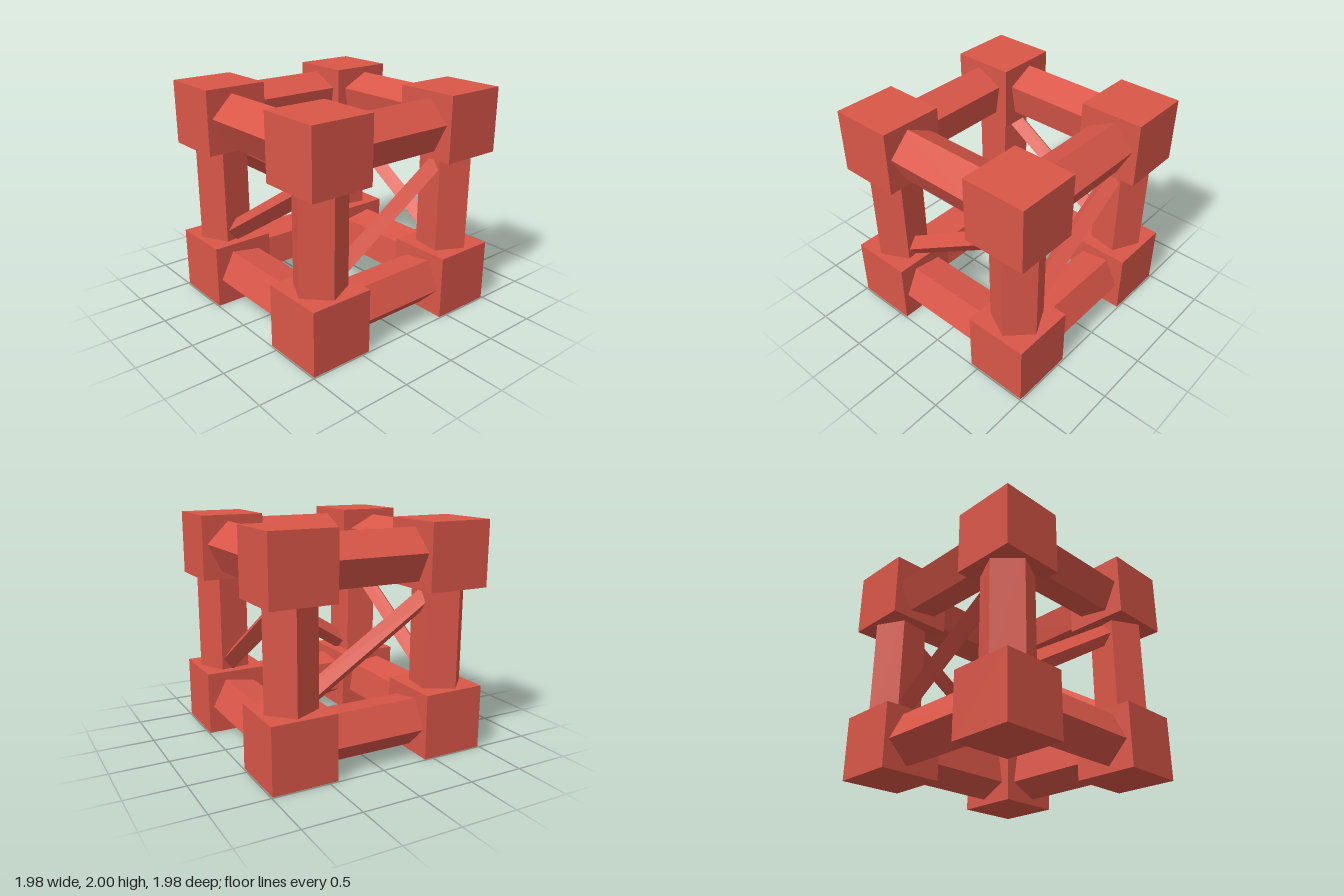
import * as THREE from 'three';

const rad = THREE.MathUtils.degToRad;

// Faceted prism along y; one corner points at the given angle from +z towards +x
function prism(radius, length, sides, cornerAngle) {
  const g = new THREE.CylinderGeometry(radius, radius, length, sides, 1, false, rad(cornerAngle)).toNonIndexed();
  g.computeVertexNormals();
  return g;
}

export function createModel() {
  const model = new THREE.Group();
  model.name = 'cubeFrame';
  const red = new THREE.MeshStandardMaterial({ color: 0xd95648 });
  red.name = 'brick red';

  const add = (parent, name, geometry, x, y, z) => {
    const mesh = new THREE.Mesh(geometry, red);
    mesh.name = name;
    mesh.position.set(x, y, z);
    parent.add(mesh);
    return mesh;
  };

  // Sizes of the frame
  const block = 0.568, blockAt = 0.706, beamAt = 0.713;
  const cornerGeo = new THREE.BoxGeometry(block, block, block);
  // Five-sided beams whose sharp corner faces the middle of the frame
  const postGeo = prism(0.235, 1.1, 5, 225);
  const upperGeo = prism(0.235, 1.1, 5, 225).rotateZ(Math.PI / 2);
  const lowerGeo = prism(0.235, 1.1, 5, 135).rotateZ(Math.PI / 2);
  const braceGeo = prism(0.09, 1.6, 4, 0);

  // Four identical sides, each turned a quarter
  ['front', 'left', 'back', 'right'].forEach((name, k) => {
    const side = new THREE.Group();
    side.name = name + 'Side';
    side.rotation.y = k * Math.PI / 2;
    add(side, 'lowerCornerBlock', cornerGeo, blockAt, block / 2, blockAt);
    add(side, 'upperCornerBlock', cornerGeo, blockAt, 2 - block / 2, blockAt);
    add(side, 'post', postGeo, beamAt, 1, beamAt);
    add(side, 'lowerBeam', lowerGeo, 0, 1 - beamAt, beamAt);
    add(side, 'upperBeam', upperGeo, 0, 1 + beamAt, beamAt);
    // Diagonal brace rising to the right
    add(side, 'diagonalBrace', braceGeo, 0, 0.99, beamAt).rotation.z = rad(-57.5);
    model.add(side);
  });
  return model;
}
